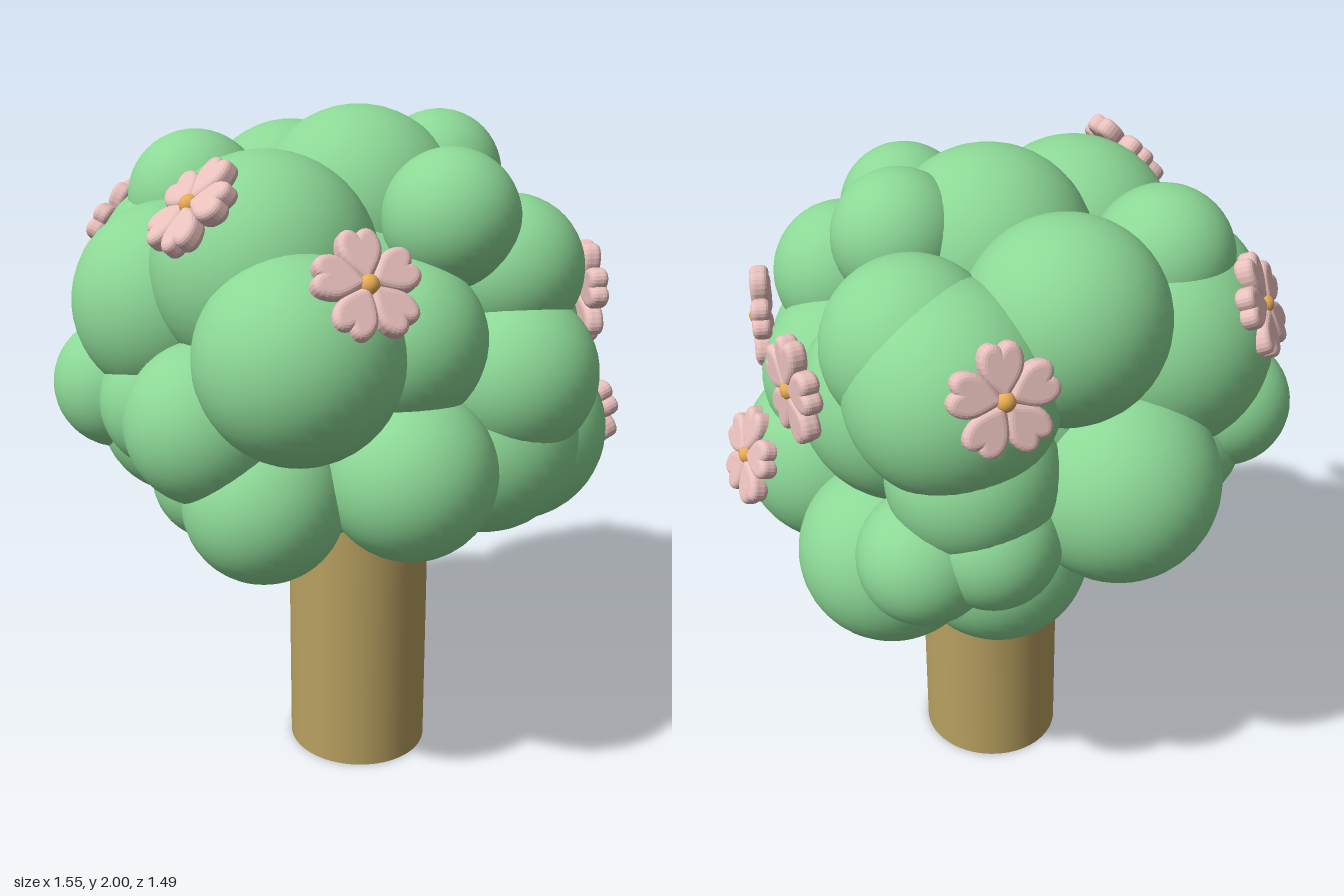
import * as THREE from 'three';

const material = (color) => new THREE.MeshStandardMaterial({ color });

export function createModel() {
  const tree = new THREE.Group();
  tree.name = 'floweringTree';
  const leafMat = material(0x8cd896);
  const barkMat = material(0xb8a060);
  const petalMat = material(0xe8c0bc);
  const heartMat = material(0xe8ac54);

  // Trunk, very slightly oval
  const trunk = new THREE.Mesh(new THREE.CylinderGeometry(0.213, 0.213, 1.1, 48), barkMat);
  trunk.name = 'trunk';
  trunk.position.set(0.048, 0.55, 0.053);
  trunk.scale.z = 1.04;
  tree.add(trunk);

  // Crown: overlapping leaf clumps, each [x, y, z, radius]
  const clumps = [
    // top
    [0.06, 1.7, 0.02, 0.3], [0.14, 1.73, 0.38, 0.19], [0.32, 1.79, 0.04, 0.185],
    [-0.32, 1.61, 0.18, 0.31], [-0.31, 1.72, -0.29, 0.2], [0.04, 1.64, -0.36, 0.28],
    [0.42, 1.6, -0.22, 0.24],
    // front
    [-0.37, 1.43, 0.465, 0.275], [0.34, 1.57, 0.38, 0.21], [0.31, 1.29, 0.46, 0.24],
    [-0.05, 1.07, 0.5, 0.24], [0.27, 1.08, 0.39, 0.27], [-0.03, 1.42, 0.42, 0.23],
    [-0.41, 1.0, 0.33, 0.225],
    // model's left (+x)
    [0.45, 1.05, 0.28, 0.28], [0.45, 0.91, -0.1, 0.27], [0.38, 1.38, -0.08, 0.29],
    [0.4, 1.32, 0.24, 0.26], [0.46, 1.03, -0.34, 0.19],
    // back
    [0.36, 1.51, -0.33, 0.29], [-0.08, 1.17, -0.46, 0.285], [0.3, 1.08, -0.43, 0.19],
    [-0.31, 1.48, -0.3, 0.315], [0.32, 1.26, -0.36, 0.24],
    // model's right (-x)
    [-0.58, 1.2, -0.28, 0.195], [-0.47, 1.47, -0.11, 0.285], [-0.52, 1.2, -0.04, 0.2],
    [-0.53, 1.22, 0.24, 0.225], [-0.42, 1.1, -0.2, 0.24],
    // underside
    [0.14, 0.84, -0.17, 0.27], [-0.34, 0.9, -0.14, 0.195], [-0.2, 0.86, -0.14, 0.2],
    [-0.15, 1.0, 0.1, 0.24],
    // core
    [0, 1.3, 0, 0.5],
  ];
  const crown = new THREE.Group();
  crown.name = 'crown';
  const ball = new THREE.SphereGeometry(1, 40, 24);
  for (const [x, y, z, r] of clumps) {
    const clump = new THREE.Mesh(ball, leafMat);
    clump.name = 'leafClump';
    clump.position.set(x, y, z);
    clump.scale.setScalar(r);
    crown.add(clump);
  }
  tree.add(crown);

  // Heart-shaped petal with rounded rims, pointing along +y
  const outline = new THREE.Shape();
  outline.moveTo(0, 0.012);
  outline.bezierCurveTo(0.012, 0.03, 0.056, 0.065, 0.05, 0.105);
  outline.bezierCurveTo(0.045, 0.143, 0.014, 0.145, 0, 0.12);
  outline.bezierCurveTo(-0.014, 0.145, -0.045, 0.143, -0.05, 0.105);
  outline.bezierCurveTo(-0.056, 0.065, -0.012, 0.03, 0, 0.012);
  const petalGeo = new THREE.ExtrudeGeometry(outline, {
    depth: 0.02, bevelEnabled: true, bevelThickness: 0.017, bevelSize: 0.018,
    bevelOffset: -0.011, bevelSegments: 4, curveSegments: 8,
  });
  petalGeo.translate(0, 0, -0.01);

  const flowerCentreGeo = new THREE.SphereGeometry(0.027, 16, 12);
  const makeFlower = ([x, y, z, nx, ny, nz]) => {
    const flower = new THREE.Group();
    flower.name = 'flower';
    for (let i = 0; i < 5; i++) {
      const petal = new THREE.Mesh(petalGeo, petalMat);
      petal.name = 'petal';
      petal.rotation.z = (i * Math.PI * 2) / 5;
      flower.add(petal);
    }
    const centre = new THREE.Mesh(flowerCentreGeo, heartMat);
    centre.name = 'flowerCentre';
    centre.position.z = 0.012;
    flower.add(centre);
    flower.position.set(x, y, z);
    flower.lookAt(x + nx, y + ny, z + nz);
    return flower;
  };

  // Flowers: position, then the direction each one faces
  const flowers = [
    [-0.28, 1.65, 0.65, -0.05, 0.55, 0.84],
    [-0.575, 1.81, 0.3, -0.72, 0.68, 0],
    [0.6, 1.48, 0.4, 0.93, 0, 0.36],
    [0.7, 1.49, -0.09, 1, 0, 0],
    [0.715, 1.1, 0.29, 0.95, 0.3, 0],
    [0.36, 1.6, -0.595, 0.15, 0.27, -0.95],
    [-0.49, 1.62, -0.5, -0.6, 0.4, -0.7],
  ];
  for (const f of flowers) tree.add(makeFlower(f));

  return tree;
}
